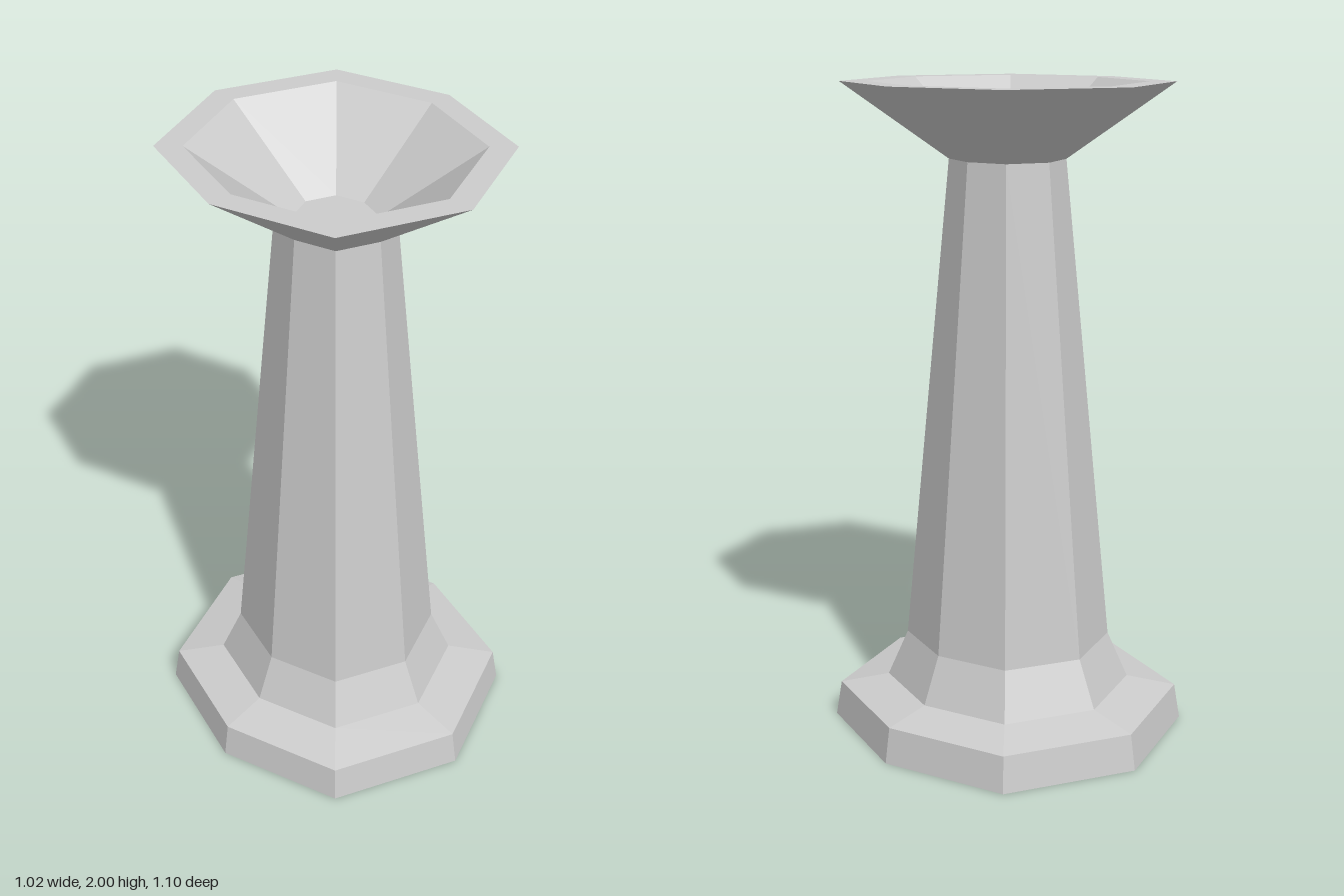
import * as THREE from 'three';

const SIDES = 8;
const SIDE_PULL = 0.923; // the two side corners sit slightly closer in

// Faceted ring stack from [radius, height] pairs, listed bottom to top
function facetedPart(name, profile, material) {
  const points = profile.map(([r, y]) => new THREE.Vector2(r, y));
  const geometry = new THREE.LatheGeometry(points, SIDES);
  const pos = geometry.attributes.position;
  for (let i = 0; i < pos.count; i++) {
    // only corners lying on the x axis are pulled in
    if (Math.abs(pos.getZ(i)) < 1e-4) pos.setX(i, pos.getX(i) * SIDE_PULL);
  }
  const flat = geometry.toNonIndexed();
  flat.computeVertexNormals();
  const mesh = new THREE.Mesh(flat, material);
  mesh.name = name;
  return mesh;
}

export function createModel() {
  const group = new THREE.Group();
  group.name = 'pedestalBasin';
  const stone = new THREE.MeshStandardMaterial({ color: 0xcccccc, flatShading: true });

  // Plinth with tapered edge and sloping top
  group.add(facetedPart('base', [[0, 0], [0.55, 0], [0.532, 0.11], [0.38, 0.14]], stone));

  // Flared foot and tapering shaft
  group.add(facetedPart('column', [[0.38, 0.14], [0.317, 0.285], [0.174, 1.775]], stone));

  // Flared bowl: outside, flat rim, hollow inside and floor
  group.add(facetedPart('bowl',
    [[0.174, 1.775], [0.495, 2], [0.415, 2], [0.122, 1.785], [0, 1.785]], stone));

  return group;
}
